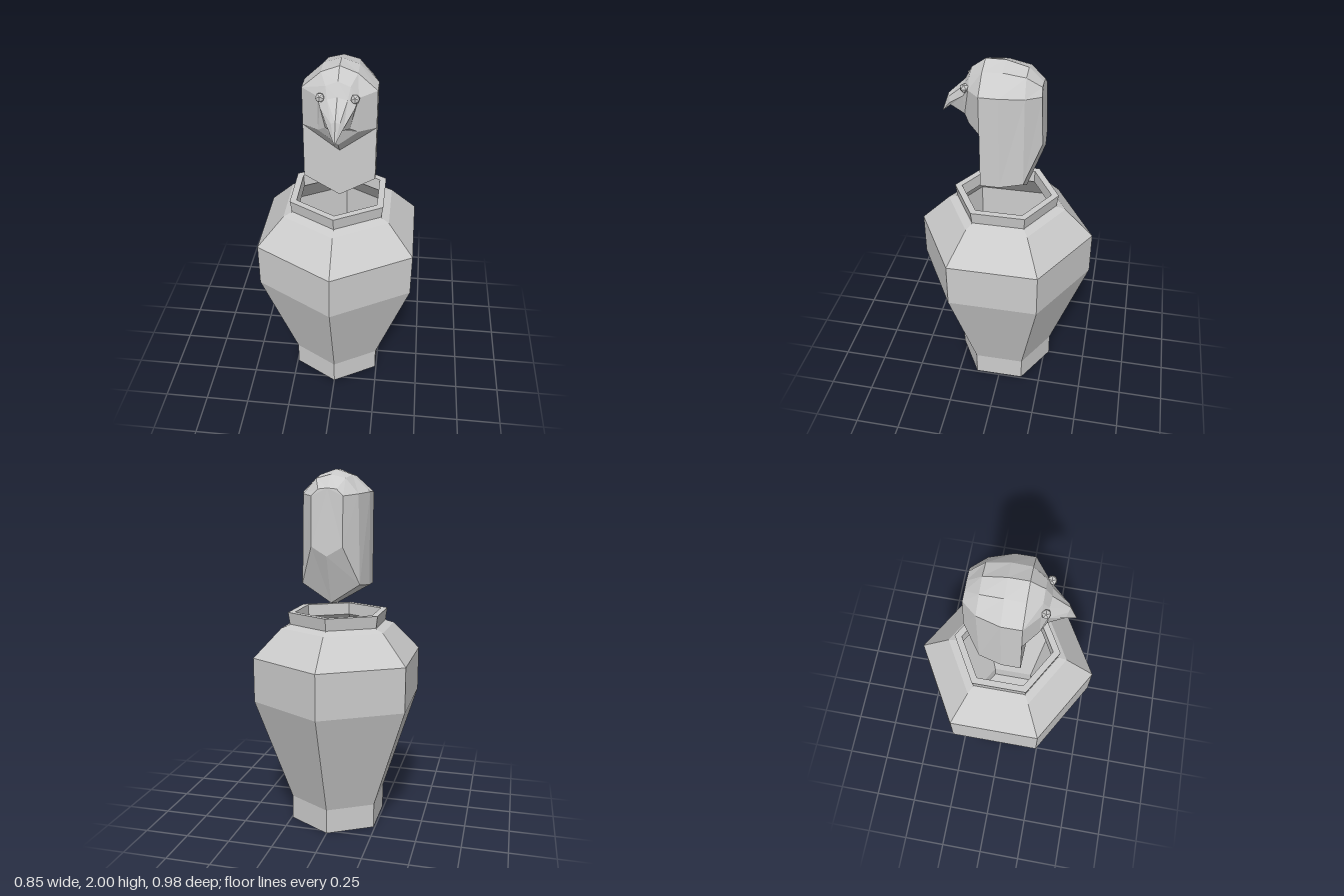
import * as THREE from 'three';

const material = new THREE.MeshStandardMaterial({ color: 0xcccccc, flatShading: true });

function addMesh(parent, name, geometry) {
  const mesh = new THREE.Mesh(geometry, material);
  mesh.name = name;
  parent.add(mesh);
  return mesh;
}

// Six-sided turned shape from [radius, y] pairs, with a corner facing the front
function hexLathe(profile) {
  const points = profile.map(([r, y]) => new THREE.Vector2(r, y));
  const geometry = new THREE.LatheGeometry(points, 6).toNonIndexed();
  geometry.computeVertexNormals();
  return geometry;
}

// Skin over half sections (ridge to keel), each mirrored in x, running from back to front
function mirroredLoft(sections) {
  const rings = sections.map((half) => {
    const right = half.map((p) => new THREE.Vector3(...p));
    const left = right.slice(1, -1).reverse().map((p) => new THREE.Vector3(-p.x, p.y, p.z));
    return [...right, ...left];
  });
  const positions = [];
  const triangle = (a, b, c) => {
    if (new THREE.Triangle(a, b, c).getArea() < 1e-7) return;
    for (const p of [a, b, c]) positions.push(p.x, p.y, p.z);
  };
  const n = rings[0].length;
  for (let i = 0; i < rings.length - 1; i++) {
    for (let j = 0; j < n; j++) {
      const k = (j + 1) % n;
      const [a, b, c, d] = [rings[i][j], rings[i][k], rings[i + 1][k], rings[i + 1][j]];
      triangle(a, d, c);
      triangle(a, c, b);
    }
  }
  for (let j = 1; j < n - 1; j++) triangle(rings[0][0], rings[0][j], rings[0][j + 1]);
  const geometry = new THREE.BufferGeometry();
  geometry.setAttribute('position', new THREE.Float32BufferAttribute(positions, 3));
  geometry.computeVertexNormals();
  return geometry;
}

export function createModel() {
  const model = new THREE.Group();
  model.name = 'birdHeadJar';

  // Hollow jar: outside wall, rim, then back down the inside
  addMesh(model, 'jar', hexLathe([
    [0, 0], [0.28, 0], [0.28, 0.14], [0.49, 0.735], [0.49, 0.985],
    [0.33, 1.145], [0.285, 1.16], [0.28, 1.165], [0.29, 1.232],
    [0.25, 1.232], [0.245, 1.165], [0.29, 1.13], [0.455, 0.965],
    [0.455, 0.745], [0.25, 0.15], [0.25, 0.04], [0, 0.04],
  ]));

  // Floating stopper shaped as a bird's head
  const stopper = new THREE.Group();
  stopper.name = 'stopper';
  stopper.position.x = 0.013;
  model.add(stopper);

  // Each section: ridge, brow, upper side, lower side, keel
  const crown = [[0, 2, 0.1], [0.09, 1.965, 0.1], [0.187, 1.88, 0.1]];
  addMesh(stopper, 'headAndNeck', mirroredLoft([
    [[0, 1.9, -0.19], [0.05, 1.895, -0.19], [0.085, 1.86, -0.195], [0.085, 1.6, -0.205], [0, 1.55, -0.21]],
    [[0, 1.97, -0.115], [0.08, 1.95, -0.115], [0.15, 1.87, -0.12], [0.16, 1.395, -0.12], [0, 1.29, -0.115]],
    [[0, 2, 0], [0.09, 1.97, 0], [0.187, 1.88, 0], [0.187, 1.38, 0], [0, 1.27, 0]],
    [...crown, [0.187, 1.38, 0.1], [0, 1.27, 0.1]],
    // Top of the neck front, where the jaw begins
    [...crown, [0.187, 1.68, 0.1], [0, 1.54, 0.1]],
    [[0, 1.95, 0.17], [0.06, 1.925, 0.17], [0.1, 1.87, 0.17], [0.1, 1.69, 0.17], [0, 1.61, 0.17]],
    // Hooked beak
    [[0, 1.885, 0.205], [0.05, 1.87, 0.2], [0.085, 1.83, 0.2], [0.06, 1.72, 0.2], [0, 1.71, 0.2]],
    [[0, 1.8, 0.295], [0.022, 1.79, 0.288], [0.04, 1.765, 0.28], [0.032, 1.748, 0.278], [0, 1.75, 0.275]],
    Array.from({ length: 5 }, () => [0, 1.695, 0.332]),
  ]));

  // Eyes
  for (const side of [-1, 1]) {
    const eye = addMesh(stopper, side > 0 ? 'leftEye' : 'rightEye', new THREE.IcosahedronGeometry(0.025, 0));
    eye.position.set(side * 0.085, 1.873, 0.19);
  }
  return model;
}
